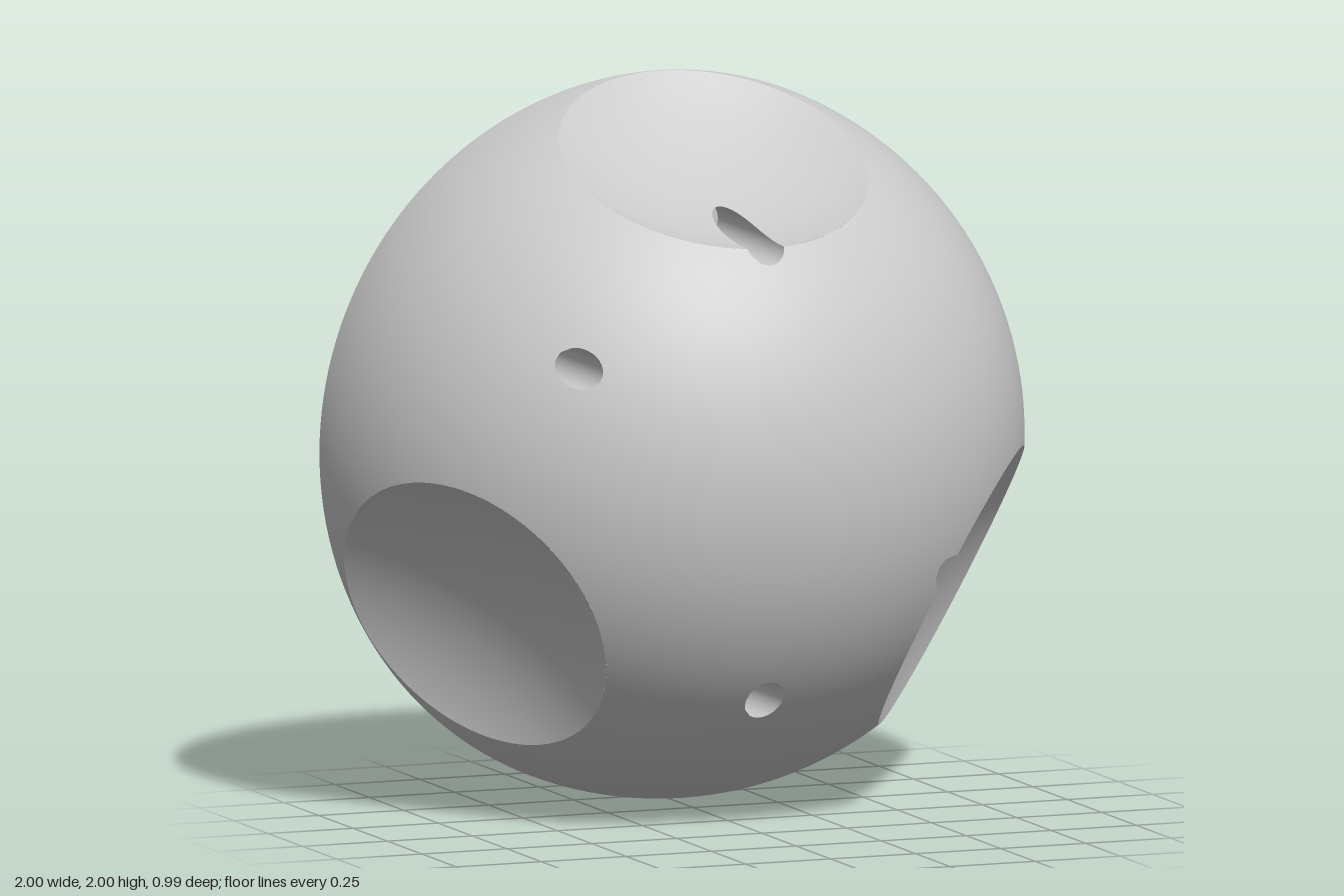
import * as THREE from 'three';
import { toCreasedNormals } from 'three/addons/utils/BufferGeometryUtils.js';

const V = (x, y, z) => new THREE.Vector3(x, y, z);
const RAD = Math.PI / 180;

// Main sizes; the dome's sphere has radius 1 and sits at the origin while building
const BACK = 0.01, FLOOR = 0.13, POCKET_END = 0.67, FILLET = 0.04;
const RECESS_R = 0.755, BORE_R = 0.055, BORE_END = 0.3, SCREW_R = 0.03;
const TILT = 30 * RAD; // pocket and cable channel are turned about z

const dishes = [90, 210, 330].map(a => V(
  Math.cos(a * RAD) * Math.cos(26.5 * RAD),
  Math.sin(a * RAD) * Math.cos(26.5 * RAD),
  Math.sin(26.5 * RAD)).multiplyScalar(1.807));
const bores = [90, 150, 270, 330].map(a => [0.63 * Math.cos(a * RAD), 0.63 * Math.sin(a * RAD)]);

// Tilted in-plane axes
const uOf = p => p.x * Math.cos(TILT) + p.y * Math.sin(TILT);
const vOf = p => -p.x * Math.sin(TILT) + p.y * Math.cos(TILT);

// Fields: positive where surface is kept
const inSphere = p => 1 - p.length();
const aboveBack = p => p.z - BACK;
const aboveFloor = p => p.z - FLOOR;
const offDishes = dishes.map(c => p => p.distanceTo(c) - 1);
const offBores = bores.map(([x, y]) => p => Math.max(Math.hypot(p.x - x, p.y - y) - BORE_R, BORE_END - p.z));
const offRecess = p => Math.max(Math.hypot(p.x, p.y) - RECESS_R, p.z - FLOOR);
const offChannel = p => Math.max(Math.abs(vOf(p)) - 0.1, 0.6 - uOf(p), p.z - FLOOR);
const offSlot = p => Math.max(Math.abs(vOf(p)) - 0.101, 0.95 - uOf(p), p.z - 0.165);
const offPocket = p => {
  const u = uOf(p), v = vOf(p), t = Math.min(FILLET, Math.max(0, p.z - POCKET_END + FILLET));
  const inset = FILLET - Math.sqrt(FILLET * FILLET - t * t);
  const side = Math.max(Math.abs(v) - 0.465, u - 0.575, -u - 0.59,
    -0.929 * u + 0.369 * Math.abs(v) - 0.592, Math.min(u - 0.13, v - 0.335));
  return Math.max(side + inset, p.z - POCKET_END);
};

// Point between two corners
const mix = (a, b, t) => ({ p: a.p.clone().lerp(b.p, t), n: a.n.clone().lerp(b.n, t).normalize() });

// Keeps the part of a polygon where the field is positive
function clip(poly, field) {
  const out = [];
  poly.forEach((a, i) => {
    const b = poly[(i + 1) % poly.length];
    const ka = field(a.p) > 0, kb = field(b.p) > 0;
    if (ka) out.push(a);
    if (ka !== kb) {
      let lo = 0, hi = 1;
      for (let k = 0; k < 14; k++) {
        const m = (lo + hi) / 2;
        if ((field(a.p.clone().lerp(b.p, m)) > 0) === ka) lo = m; else hi = m;
      }
      out.push(mix(a, b, (lo + hi) / 2));
    }
  });
  return out;
}

// Trims a geometry by fields; inward turns it into the wall of a cavity
function trim(geometry, fields, inward = false) {
  const g = geometry.index ? geometry.toNonIndexed() : geometry;
  const P = g.attributes.position, N = g.attributes.normal, pos = [], nor = [];
  const emit = tri => {
    // split large triangles so that curved cuts stay smooth
    for (let i = 0; i < 3; i++) {
      const a = tri[i], b = tri[(i + 1) % 3], c = tri[(i + 2) % 3];
      const ab = a.p.distanceTo(b.p);
      if (ab > 0.055 && ab >= b.p.distanceTo(c.p) - 1e-9 && ab >= c.p.distanceTo(a.p) - 1e-9) {
        const m = mix(a, b, 0.5);
        emit([a, m, c]);
        emit([m, b, c]);
        return;
      }
    }
    let poly = tri;
    for (const f of fields) {
      poly = clip(poly, f);
      if (poly.length < 3) return;
    }
    for (let i = 1; i < poly.length - 1; i++) {
      const t = inward ? [poly[0], poly[i + 1], poly[i]] : [poly[0], poly[i], poly[i + 1]];
      for (const { p, n } of t) {
        const s = inward ? -1 : 1;
        pos.push(p.x, p.y, p.z);
        nor.push(n.x * s, n.y * s, n.z * s);
      }
    }
  };
  for (let i = 0; i < P.count; i += 3) {
    emit([0, 1, 2].map(k => ({
      p: V().fromBufferAttribute(P, i + k),
      n: V().fromBufferAttribute(N, i + k),
    })));
  }
  const out = new THREE.BufferGeometry();
  out.setAttribute('position', new THREE.Float32BufferAttribute(pos, 3));
  out.setAttribute('normal', new THREE.Float32BufferAttribute(nor, 3));
  return out;
}

// Cylinder along z from z0 to z1
const rod = (r, z0, z1, x = 0, y = 0, sides = 32, open = false) =>
  new THREE.CylinderGeometry(r, r, z1 - z0, sides, 1, open).rotateX(Math.PI / 2).translate(x, y, (z0 + z1) / 2);

// Box given in tilted axes
const tiltedBox = (u0, u1, half, z0, z1) => new THREE.BoxGeometry(u1 - u0, half * 2, z1 - z0)
  .translate((u0 + u1) / 2, 0, (z0 + z1) / 2).rotateZ(TILT);

export function createModel() {
  const group = new THREE.Group();
  const material = new THREE.MeshStandardMaterial({ color: 0xcccccc });
  const add = (name, geometry) => {
    const mesh = new THREE.Mesh(geometry, material);
    mesh.name = name;
    group.add(mesh);
  };

  // Dome skin
  add('domeShell', trim(
    new THREE.SphereGeometry(1, 160, 48, 0, Math.PI * 2, 0, Math.PI / 2).rotateX(Math.PI / 2),
    [aboveBack, ...offDishes, ...offBores, offChannel, offSlot]));

  // Three concave dishes
  dishes.forEach(c => {
    const q = new THREE.Quaternion().setFromUnitVectors(V(0, 1, 0), c.clone().normalize().negate());
    const cap = new THREE.SphereGeometry(1, 96, 12, 0, Math.PI * 2, 0, 0.46)
      .applyQuaternion(q).translate(c.x, c.y, c.z);
    add('dish', trim(cap, [inSphere, aboveBack, ...offBores, offPocket], true));
  });

  // Blind bores from the front, and small screw holes behind them
  bores.forEach(([x, y]) => {
    add('bore', trim(rod(BORE_R, BORE_END, 1.1, x, y), [inSphere, ...offDishes], true));
    add('screwHole', trim(rod(SCREW_R, 0, 0.23, x, y, 24), [aboveFloor], true));
  });

  // Flat back rim and the round recess within it
  add('backRim', trim(new THREE.RingGeometry(RECESS_R, 0.99995, 160, 4).rotateY(Math.PI).translate(0, 0, BACK),
    [offChannel, offSlot]));
  add('recessWall', trim(rod(RECESS_R, BACK, FLOOR, 0, 0, 160, true), [offChannel], true));

  // Tilted pocket outline with tapered end and a step
  const outline = [[0.575, 0.335], [0.13, 0.335], [0.13, 0.465], [-0.453, 0.465], [-0.59, 0.12],
    [-0.59, -0.12], [-0.453, -0.465], [0.575, -0.465]]
    .map(([u, v]) => new THREE.Vector2(u, v).rotateAround(new THREE.Vector2(), TILT));

  // Recess floor with openings
  const disc = new THREE.Shape().absarc(0, 0, RECESS_R, 0, Math.PI * 2);
  disc.holes.push(new THREE.Path(outline));
  bores.forEach(([x, y]) => disc.holes.push(new THREE.Path().absarc(x, y, SCREW_R, 0, Math.PI * 2)));
  add('recessFloor', trim(new THREE.ShapeGeometry(disc, 80).translate(0, 0, FLOOR), [], true));

  // Pocket with rounded bottom edge, open where it meets a dish
  const pocket = new THREE.ExtrudeGeometry(new THREE.Shape(outline), {
    depth: POCKET_END - FILLET * 2, bevelThickness: FILLET, bevelSize: FILLET,
    bevelOffset: -FILLET, bevelSegments: 5,
  }).translate(0, 0, FILLET);
  add('pocket', trim(toCreasedNormals(pocket, 0.4), [aboveFloor, inSphere, ...offDishes], true));

  // Cable channel through the rim, deeper at its outer end
  add('cableChannel', trim(tiltedBox(0.6, 1.1, 0.1, -0.1, FLOOR), [aboveBack, inSphere, offRecess, offSlot], true));
  add('channelSlot', trim(tiltedBox(0.95, 1.1, 0.101, -0.1, 0.165), [aboveBack, inSphere, offChannel], true));

  group.position.set(0, 1, -0.505);
  const model = new THREE.Group();
  model.name = 'domeHousing';
  model.add(group);
  return model;
}
